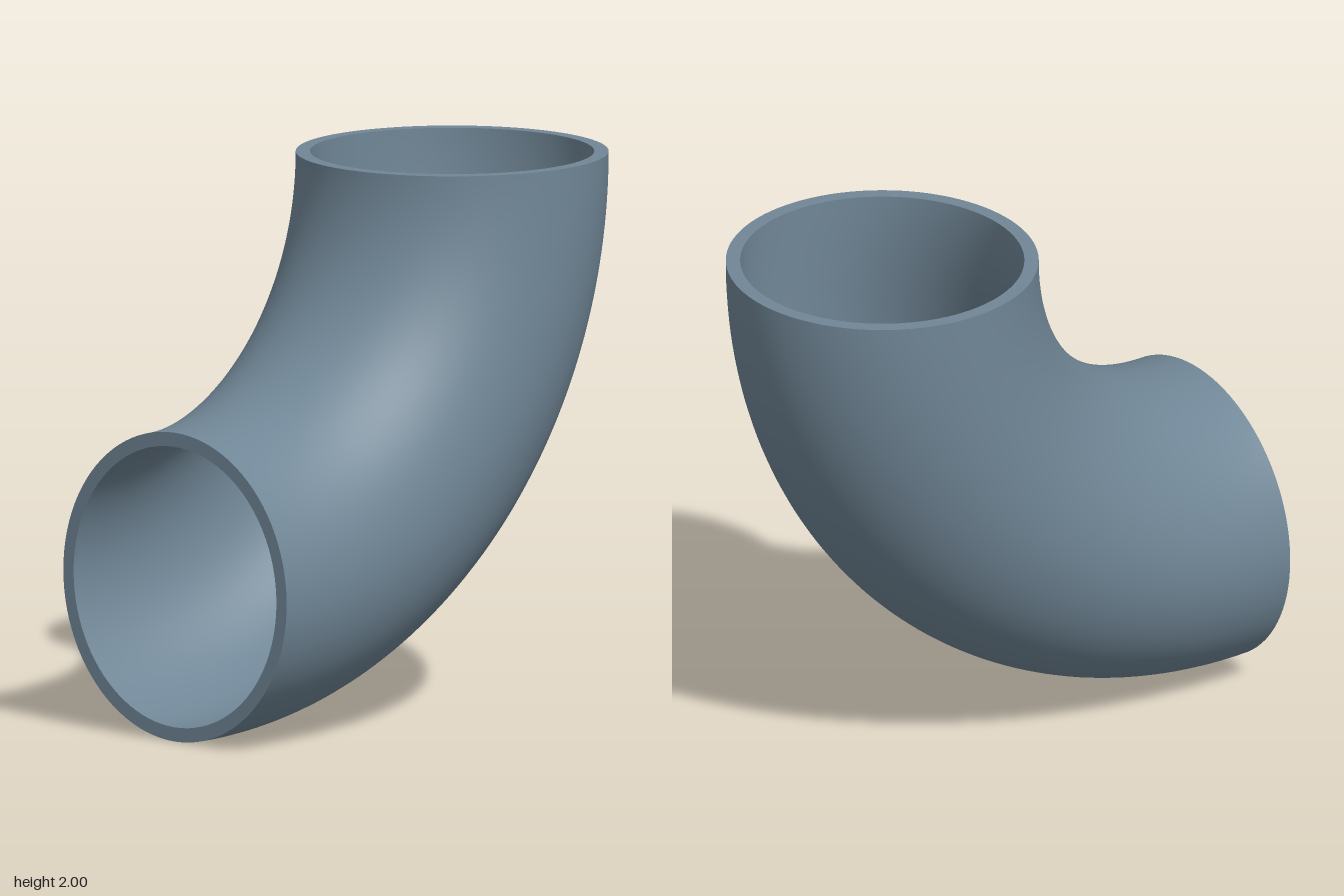
import * as THREE from 'three';

const BEND = 1.433;   // radius of the bend's centre line
const OUTER = 0.567;  // outer pipe radius
const INNER = 0.515;  // bore radius
const SIDES = 96, STEPS = 64;

// Quarter bend about (-1, 2), from the bottom-left mouth to the top mouth
function quarterBend(radius) {
  return new THREE.TorusGeometry(BEND, radius, SIDES, STEPS, Math.PI / 2)
    .rotateZ(-Math.PI / 2)
    .translate(-1, 2, 0);
}

// Turn a surface inside out so it faces the bore
function insideOut(geometry) {
  const index = geometry.index.array;
  for (let i = 0; i < index.length; i += 3) {
    [index[i], index[i + 1]] = [index[i + 1], index[i]];
  }
  const normals = geometry.attributes.normal.array;
  for (let i = 0; i < normals.length; i++) normals[i] *= -1;
  return geometry;
}

export function createModel() {
  const group = new THREE.Group();
  group.name = 'pipeElbow';
  const material = new THREE.MeshStandardMaterial({ color: 0x708696 });

  const add = (name, geometry) => {
    const mesh = new THREE.Mesh(geometry, material);
    mesh.name = name;
    group.add(mesh);
  };

  // Pipe walls
  add('outerWall', quarterBend(OUTER));
  add('innerWall', insideOut(quarterBend(INNER)));

  // Flat rims closing the wall thickness at both mouths
  const rim = () => new THREE.RingGeometry(INNER, OUTER, SIDES);
  add('topRim', rim().rotateX(-Math.PI / 2).translate(BEND - 1, 2, 0));
  add('sideRim', rim().rotateY(-Math.PI / 2).translate(-1, 2 - BEND, 0));

  return group;
}
